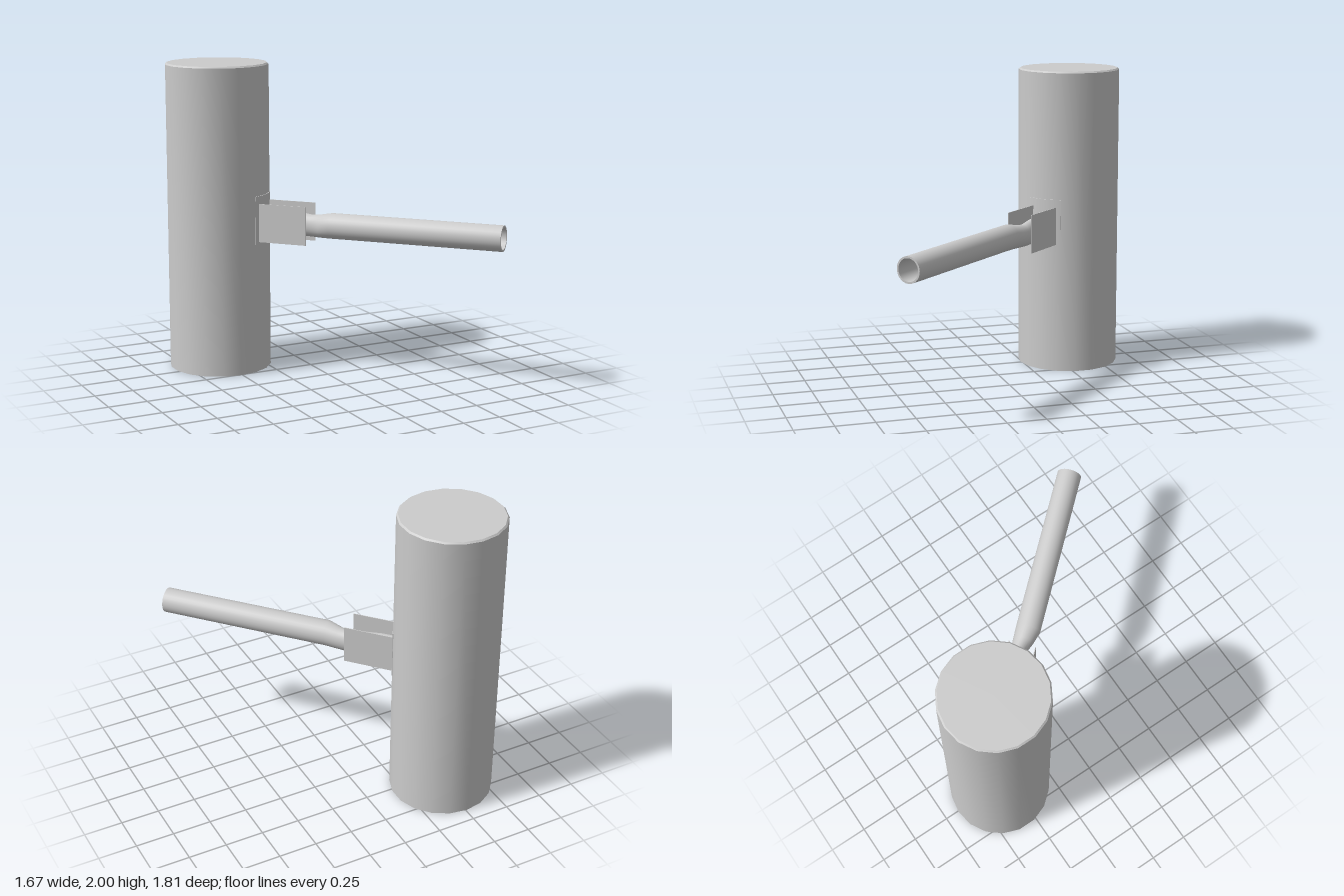
import * as THREE from 'three';
import { toCreasedNormals } from 'three/addons/utils/BufferGeometryUtils.js';

const material = new THREE.MeshStandardMaterial({ color: 0xcccccc, side: THREE.DoubleSide });

function addPart(parent, name, geometry) {
  const mesh = new THREE.Mesh(geometry, material);
  mesh.name = name;
  parent.add(mesh);
  return mesh;
}

// Skin over elliptical sections [z, centreX, radiusX, bottomY, topY]
function loft(sections, sides = 28) {
  const positions = [], index = [];
  for (const [z, cx, rx, bottom, top] of sections) {
    for (let i = 0; i <= sides; i++) {
      const a = (i / sides) * Math.PI * 2;
      positions.push(cx + rx * Math.cos(a), (top + bottom) / 2 + ((top - bottom) / 2) * Math.sin(a), z);
    }
  }
  const row = sides + 1;
  for (let s = 0; s < sections.length - 1; s++) {
    for (let i = 0; i < sides; i++) {
      const a = s * row + i, b = a + 1, c = a + row, d = c + 1;
      index.push(a, b, c, b, d, c);
    }
  }
  const geometry = new THREE.BufferGeometry();
  geometry.setAttribute('position', new THREE.Float32BufferAttribute(positions, 3));
  geometry.setIndex(index);
  return toCreasedNormals(geometry, 0.7);
}

// Curved plate that hugs the column face
function curvedPlate(inner, outer, halfAngle, height) {
  const shape = new THREE.Shape();
  const mid = -Math.PI / 2;
  shape.absarc(0, 0, outer, mid - halfAngle, mid + halfAngle, false);
  shape.absarc(0, 0, inner, mid + halfAngle, mid - halfAngle, true);
  shape.closePath();
  const geometry = new THREE.ExtrudeGeometry(shape, { depth: height, bevelEnabled: false, curveSegments: 8 });
  geometry.rotateX(-Math.PI / 2);
  return geometry;
}

export function createModel() {
  const model = new THREE.Group();
  model.name = 'columnWithHandle';

  // Upright column with a small bevel round the top
  const profile = [[0, 0], [0.334, 0], [0.334, 1.99], [0.324, 2], [0, 2]].map(([r, y]) => new THREE.Vector2(r, y));
  const column = addPart(model, 'column', toCreasedNormals(new THREE.LatheGeometry(profile, 18), 0.5));
  column.position.set(-0.508, 0, -0.573);

  // Everything on the arm points along local +z, away from the column axis
  const arm = new THREE.Group();
  arm.name = 'arm';
  arm.position.copy(column.position);
  arm.rotation.y = 0.73;
  model.add(arm);

  // Mounting bracket: back plate and two thin cheeks
  addPart(arm, 'backPlate', curvedPlate(0.322, 0.336, 0.36, 0.315)).position.y = 0.845;
  for (const side of [-1, 1]) {
    const cheek = addPart(arm, side < 0 ? 'rightCheek' : 'leftCheek', new THREE.BoxGeometry(0.005, 0.25, 0.335));
    cheek.position.set(side * 0.086, 0.985, 0.4775);
  }

  // Handle: pinched, slightly kinked root growing into a round pipe
  addPart(arm, 'handlePipe', loft([
    [0.31, 0.008, 0.052, 0.9, 1.065],
    [0.43, 0.008, 0.047, 0.9, 1.065],
    [0.53, 0.022, 0.056, 0.9, 1.06],
    [0.64, 0.026, 0.05, 0.9, 1.043],
    [0.71, 0.012, 0.066, 0.9, 1.05],
    [0.79, 0, 0.08, 0.902, 1.066],
    [1.915, 0, 0.08, 0.902, 1.066],
  ]));

  // Hollow end: rim, bore and the bore's floor
  addPart(arm, 'pipeRim', loft([[1.915, 0, 0.08, 0.902, 1.066], [1.915, 0, 0.069, 0.914, 1.054]]));
  addPart(arm, 'pipeBore', loft([
    [1.915, 0, 0.069, 0.914, 1.054],
    [0.9, 0, 0.069, 0.914, 1.054],
    [0.9, 0, 0.001, 0.983, 0.985],
  ]));

  return model;
}
